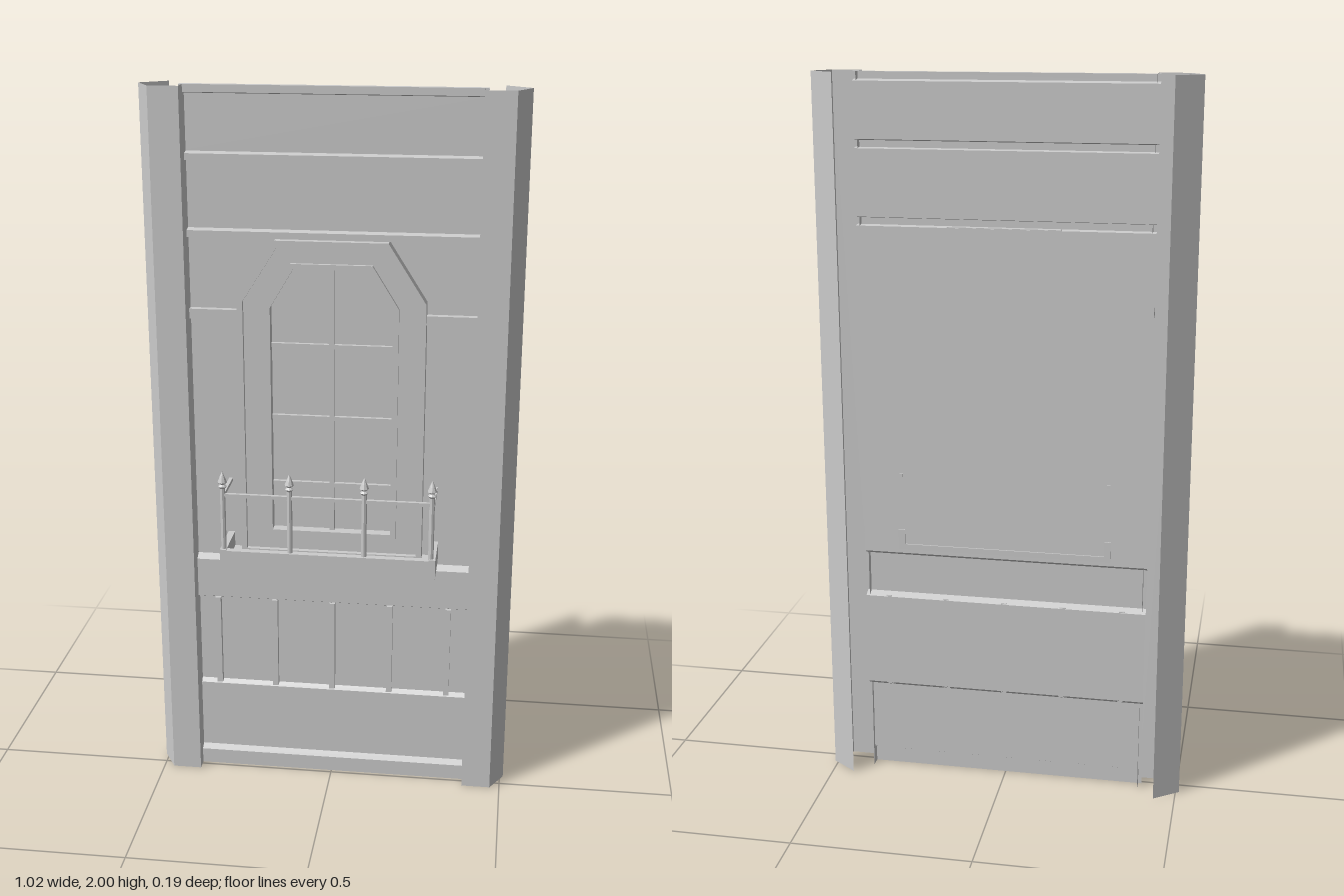
import * as THREE from 'three';

const mat = new THREE.MeshStandardMaterial({ color: 0xcccccc, flatShading: true, side: THREE.DoubleSide });

function add(parent, name, geo, x = 0, y = 0, z = 0) {
  const mesh = new THREE.Mesh(geo, mat);
  mesh.name = name;
  mesh.position.set(x, y, z);
  parent.add(mesh);
  return mesh;
}

// box given by its min and max corners
function box(parent, name, x0, x1, y0, y1, z0, z1) {
  return add(parent, name, new THREE.BoxGeometry(x1 - x0, y1 - y0, z1 - z0),
    (x0 + x1) / 2, (y0 + y1) / 2, (z0 + z1) / 2);
}

// open sheet: strip of quads joining a path to its copy; a and b map a path point to 3D
function sheet(path, a, b) {
  const pos = [];
  for (let i = 0; i < path.length - 1; i++) {
    const [p, q] = [path[i], path[i + 1]];
    pos.push(...a(p), ...b(p), ...b(q), ...a(p), ...b(q), ...a(q));
  }
  const geo = new THREE.BufferGeometry();
  geo.setAttribute('position', new THREE.Float32BufferAttribute(pos, 3));
  geo.computeVertexNormals();
  return geo;
}

// window outline with clipped top corners
function arch(w, bottom, shoulder, topW, top) {
  return [[-w, bottom], [w, bottom], [w, shoulder], [topW, top], [-topW, top], [-w, shoulder]]
    .map(([x, y]) => new THREE.Vector2(x, y));
}

function ring(outer, inner, z0, z1) {
  const shape = new THREE.Shape(outer);
  shape.holes.push(new THREE.Path(inner));
  const geo = new THREE.ExtrudeGeometry(shape, { depth: z1 - z0, bevelEnabled: false });
  return geo.translate(0, 0, z0);
}

export function createModel() {
  const model = new THREE.Group();
  model.name = 'wallSection';

  // wall sheet, stepped in depth: [y, z] from floor to top
  const wall = [
    [0, -0.01], [0.045, -0.01], [0.055, -0.028], [0.262, -0.028], [0.272, -0.04],
    [0.54, -0.04], [0.55, -0.02], [0.665, -0.02], [0.677, -0.04]
  ];
  for (const y of [1.6, 1.803]) {
    wall.push([y, -0.04], [y + 0.002, -0.02], [y + 0.02, -0.02], [y + 0.024, -0.04]);
  }
  wall.push([1.976, -0.04], [1.98, -0.02], [2, -0.02], [2, -0.04]);
  add(model, 'wall', sheet(wall, ([y, z]) => [-0.4, y, z], ([y, z]) => [0.4, y, z]));

  // folded corner pillars, open at the back, top and bottom
  const fold = [[0.39, -0.04], [0.39, 0.025], [0.472, 0.025], [0.51, -0.04], [0.44, -0.09]];
  for (const s of [1, -1]) {
    add(model, s > 0 ? 'leftPillar' : 'rightPillar',
      sheet(fold, ([x, z]) => [s * x, 0, z], ([x, z]) => [s * x, 2, z]));
    // short rail beside the window
    const rail = box(model, 'sideRail', 0.25, 0.4, 1.378, 1.405, -0.039, -0.02);
    rail.position.x *= s;
  }

  // battens on the lower panel
  for (let i = -2; i <= 2; i++) {
    box(model, 'batten', i * 0.167 - 0.008, i * 0.167 + 0.008, 0.268, 0.543, -0.039, -0.024);
  }

  // window: raised outer moulding, flat casing, raised inner moulding, pane and bars
  const windowGroup = new THREE.Group();
  windowGroup.name = 'window';
  model.add(windowGroup);
  const a = arch(0.255, 0.7, 1.44, 0.152, 1.602);
  const b = arch(0.24, 0.715, 1.434, 0.143, 1.587);
  const c = arch(0.182, 0.76, 1.424, 0.11, 1.54);
  const d = arch(0.166, 0.775, 1.418, 0.102, 1.526);
  add(windowGroup, 'outerMoulding', ring(a, b, -0.039, 0));
  add(windowGroup, 'casing', ring(b, c, -0.039, -0.014));
  add(windowGroup, 'innerMoulding', ring(c, d, -0.039, -0.004));
  add(windowGroup, 'pane', new THREE.ShapeGeometry(new THREE.Shape(d)), 0, 0, -0.034);
  box(windowGroup, 'mullion', -0.007, 0.007, 0.775, 1.526, -0.034, -0.02);
  for (const y of [0.91, 1.105, 1.31]) {
    box(windowGroup, 'glazingBar', -0.166, 0.166, y - 0.006, y + 0.006, -0.034, -0.023);
  }

  // balcony tray, its ends poking slightly through the wall
  const balcony = new THREE.Group();
  balcony.name = 'balcony';
  model.add(balcony);
  box(balcony, 'trayFloor', -0.3, 0.3, 0.69, 0.705, -0.044, 0.094);
  box(balcony, 'trayFront', -0.3, 0.3, 0.69, 0.745, 0.075, 0.095);
  for (const s of [-1, 1]) {
    const side = box(balcony, 'traySide', 0.282, 0.3, 0.69, 0.748, -0.044, 0.095);
    side.position.x *= s;
    box(balcony, 'sideHandrail', s * 0.29 - 0.005, s * 0.29 + 0.005, 0.902, 0.912, -0.043, 0.083);
  }
  box(balcony, 'frontHandrail', -0.29, 0.29, 0.902, 0.912, 0.077, 0.087);

  // posts with pointed finials
  const finial = [[0.006, 0], [0.012, 0.008], [0.006, 0.014], [0.013, 0.02], [0.008, 0.034], [0, 0.052]]
    .map(([r, y]) => new THREE.Vector2(r, y));
  for (const x of [-0.29, -0.104, 0.102, 0.287]) {
    add(balcony, 'post', new THREE.CylinderGeometry(0.0075, 0.0075, 0.23, 8), x, 0.815, 0.082);
    add(balcony, 'finial', new THREE.LatheGeometry(finial, 8), x, 0.925, 0.082);
  }
  return model;
}
